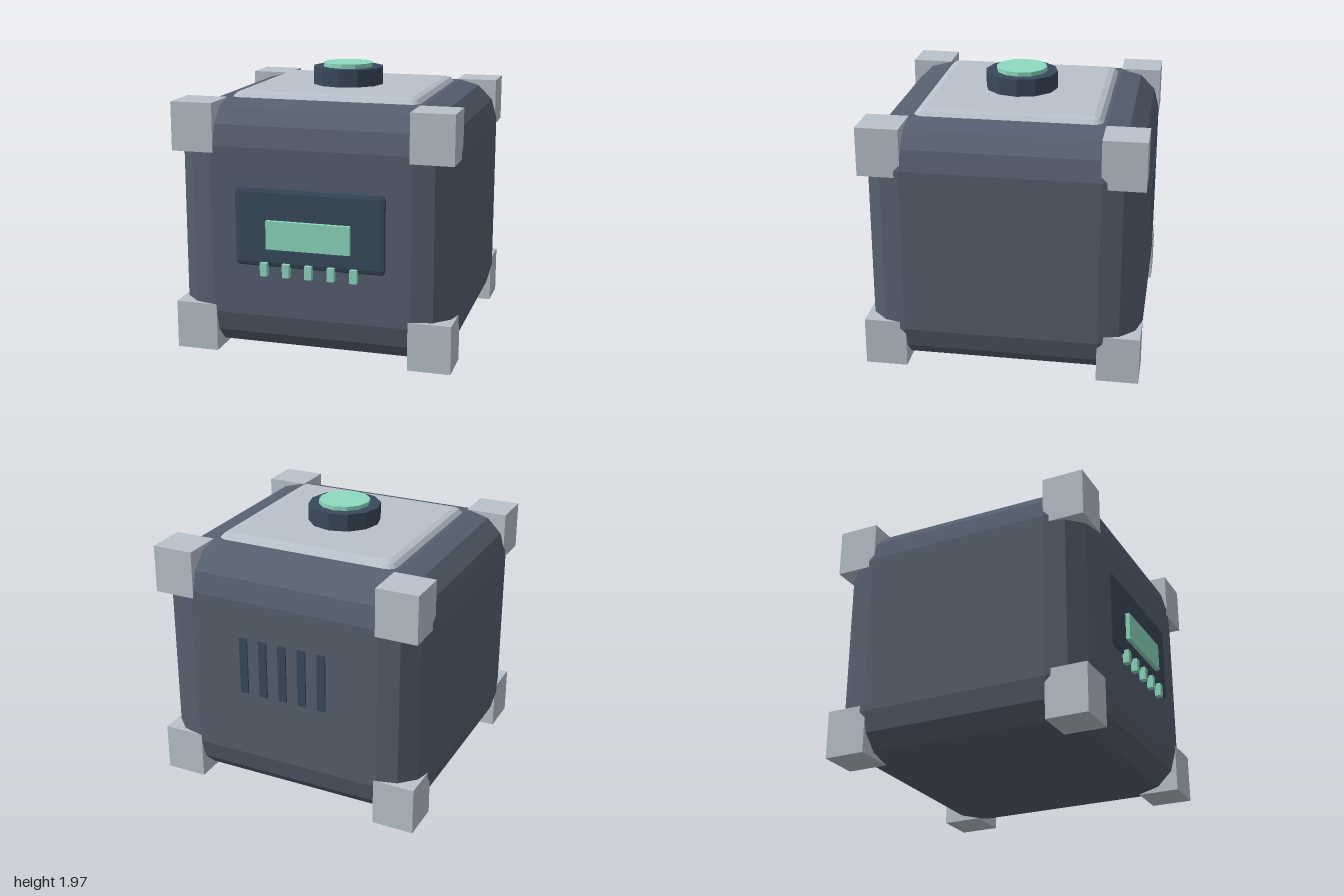
import * as THREE from 'three';
import { ConvexGeometry } from 'three/addons/geometries/ConvexGeometry.js';

const mat = (color) => new THREE.MeshStandardMaterial({ color, flatShading: true });

// Box with faceted round edges: hull of eight sphere octants
function bevelBox(w, h, d, r, segments = 3) {
  const points = [];
  const step = Math.PI / 2 / segments;
  for (const sx of [-1, 1]) for (const sy of [-1, 1]) for (const sz of [-1, 1]) {
    for (let i = 0; i <= segments; i++) {
      const lat = i * step;
      const count = i === segments ? 0 : segments; // single point at the pole
      for (let j = 0; j <= count; j++) {
        const lon = j * step;
        points.push(new THREE.Vector3(
          sx * (w / 2 - r + r * Math.cos(lat) * Math.cos(lon)),
          sy * (h / 2 - r + r * Math.sin(lat)),
          sz * (d / 2 - r + r * Math.cos(lat) * Math.sin(lon))
        ));
      }
    }
  }
  return new ConvexGeometry(points);
}

export function createModel() {
  const model = new THREE.Group();
  model.name = 'cubeDevice';

  const shell = mat(0x566070);
  const pale = mat(0xb8c2cc);
  const dark = mat(0x3a4a5c);
  const mint = mat(0x8cdabf);
  const midZ = -0.015;

  function add(name, geometry, material, x, y, z) {
    const mesh = new THREE.Mesh(geometry, material);
    mesh.name = name;
    mesh.position.set(x, y, z);
    model.add(mesh);
    return mesh;
  }

  // Main body
  add('body', bevelBox(2, 1.768, 1.94, 0.29), shell, 0, 0.888, midZ);

  // Corner guards
  const guard = new THREE.BoxGeometry(0.3, 0.342, 0.297);
  for (const sx of [-1, 1]) for (const y of [0.171, 1.604]) for (const sz of [-1, 1]) {
    add('cornerGuard', guard, pale, sx * 0.84, y, midZ + sz * 0.8235);
  }

  // Lid plate with round button
  add('topPlate', bevelBox(1.38, 0.2, 1.33, 0.08), pale, 0, 1.71, midZ);
  add('buttonRing', new THREE.CylinderGeometry(0.261, 0.261, 0.175, 12), dark, 0, 1.8475, midZ);
  add('buttonCap', new THREE.CylinderGeometry(0.184, 0.184, 0.1, 12), mint, 0, 1.915, midZ);

  // Front panel, screen and keys
  add('frontPanel', bevelBox(1.1, 0.59, 0.16, 0.05), dark, 0, 0.935, 0.89);
  add('screen', new THREE.BoxGeometry(0.595, 0.2, 0.1), mint, -0.002, 0.89, 0.95);
  const key = new THREE.BoxGeometry(0.05, 0.095, 0.1);
  for (let i = -2; i <= 2; i++) add('key', key, mint, i * 0.16, 0.642, 0.95);

  // Rear vent slats
  const slat = new THREE.BoxGeometry(0.06, 0.425, 0.06);
  for (let i = -2; i <= 2; i++) add('ventSlat', slat, dark, i * 0.15, 1.003, -0.967);

  return model;
}
